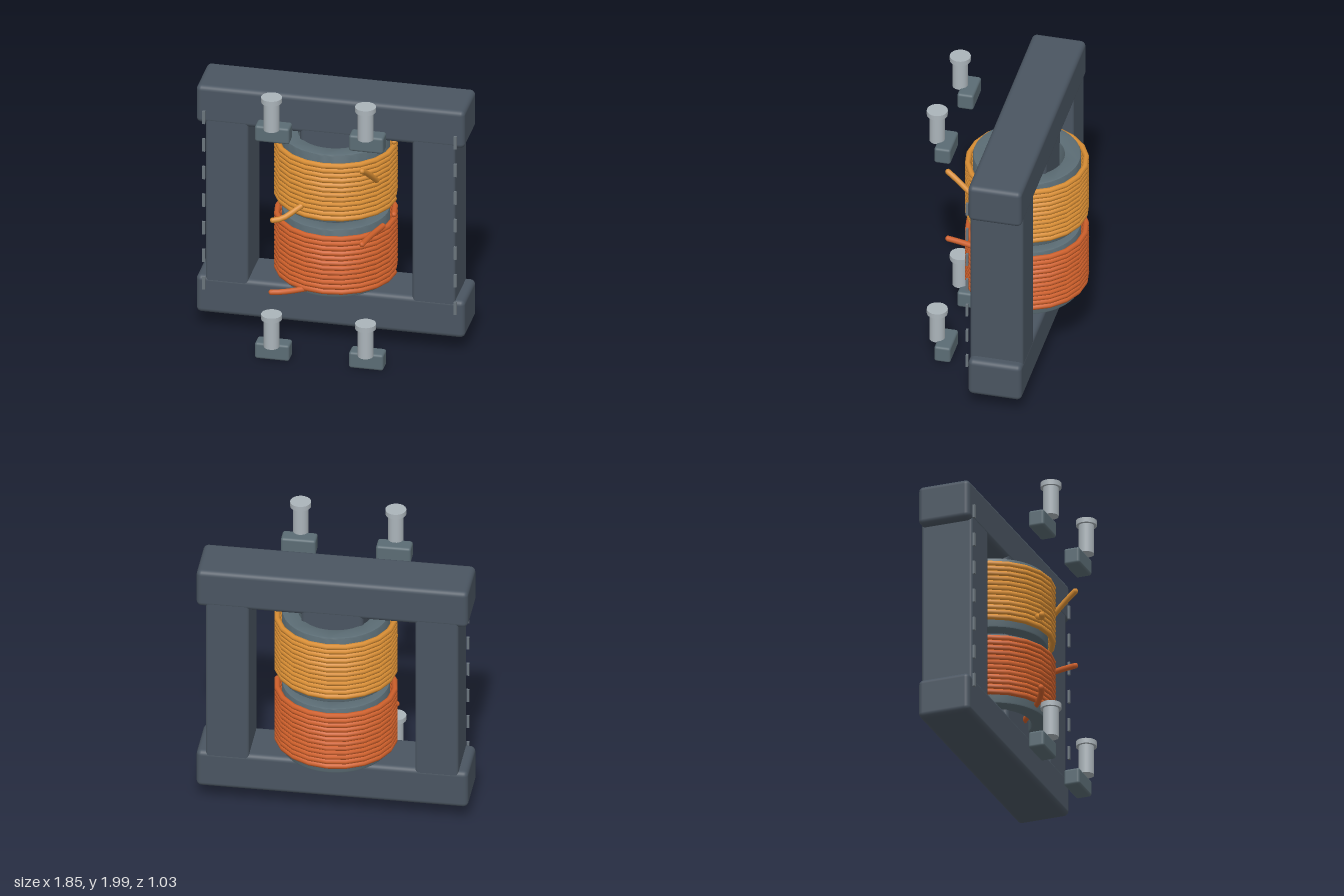
import * as THREE from 'three';
import { toCreasedNormals } from 'three/addons/utils/BufferGeometryUtils.js';
import { RoundedBoxGeometry } from 'three/addons/geometries/RoundedBoxGeometry.js';

const CZ = -0.092; // depth of the core's mid plane
const mat = (color) => new THREE.MeshStandardMaterial({ color });
const V = (x, y, z) => new THREE.Vector3(x, y, z);

export function createModel() {
  const model = new THREE.Group();
  model.name = 'transformer';
  const iron = mat(0x4a5561), plastic = mat(0x5b6c74), steel = mat(0xabb4ba), tabGrey = mat(0x6a747c);
  const copper = [mat(0xcf602b), mat(0xd98e34)];

  const add = (parent, name, geometry, material, x = 0, y = 0, z = 0) => {
    const mesh = new THREE.Mesh(geometry, material);
    mesh.name = name;
    mesh.position.set(x, y, z);
    parent.add(mesh);
    return mesh;
  };
  const rbox = (w, h, d, r) => new RoundedBoxGeometry(w, h, d, 3, r);

  // Laminated core: two yokes, two outer legs and a centre limb
  const core = new THREE.Group();
  core.name = 'core';
  model.add(core);
  add(core, 'topYoke', rbox(1.85, 0.28, 0.37, 0.035), iron, 0, 1.7, CZ);
  add(core, 'bottomYoke', rbox(1.85, 0.28, 0.37, 0.035), iron, 0, 0.267, CZ);
  for (const s of [-1, 1]) add(core, 'outerLeg', rbox(0.295, 1.4, 0.367, 0.02), iron, s * 0.713, 0.983, CZ);
  add(core, 'centreLimb', rbox(0.425, 1.4, 0.367, 0.03), iron, 0, 0.983, CZ);

  // Column of small lamination tabs in front of each outer leg
  for (const s of [-1, 1])
    for (let i = 0; i < 7; i++)
      add(core, 'laminationTab', new THREE.BoxGeometry(0.02, 0.095, 0.015), tabGrey, s * 0.867, 0.365 + i * 0.2085, 0.11);

  // Hollow bobbin with softened rims, extruded upward
  const bevel = 0.012, height = 0.513;
  const ring = new THREE.Shape().absarc(0, 0, 0.365 - bevel, 0, Math.PI * 2);
  ring.holes.push(new THREE.Path().absarc(0, 0, 0.252 + bevel, 0, Math.PI * 2, true));
  const bobbinGeo = toCreasedNormals(
    new THREE.ExtrudeGeometry(ring, {
      depth: height - 2 * bevel, curveSegments: 32,
      bevelEnabled: true, bevelSize: bevel, bevelThickness: bevel, bevelSegments: 2,
    }).translate(0, 0, bevel).rotateX(-Math.PI / 2), 0.6);

  // Round wire along points, closed with rounded ends
  const WIRE = 0.02;
  const wire = (parent, name, points, segments, material) => {
    const curve = new THREE.CatmullRomCurve3(points, false, 'centripetal');
    add(parent, name, new THREE.TubeGeometry(curve, segments, WIRE, 8), material);
    for (const p of [points[0], points[points.length - 1]])
      add(parent, name + 'End', new THREE.SphereGeometry(WIRE, 8, 6), material, p.x, p.y, p.z);
  };
  const helix = (y0, y1, turns, sides) => {
    const pts = [];
    for (let i = 0; i <= turns * sides; i++) {
      const a = (i / sides) * Math.PI * 2;
      pts.push(V(0.4 * Math.cos(a), y0 + ((y1 - y0) * i) / (turns * sides), CZ + 0.4 * Math.sin(a)));
    }
    return pts;
  };

  // Lower and upper windings, each with two lead wires
  const windings = [
    { name: 'lowerWinding', base: 0.435, y: [0.487, 0.922], leads: [
      [V(-0.34, 0.49, 0.385), V(-0.27, 0.487, 0.36), V(-0.08, 0.485, 0.24), V(0.1, 0.485, 0.09)],
      [V(0.285, 0.922, 0.385), V(0.31, 0.922, 0.27), V(0.36, 0.915, 0.08)]] },
    { name: 'upperWinding', base: 0.998, y: [1.042, 1.472], leads: [
      [V(-0.33, 1.035, 0.385), V(-0.27, 1.045, 0.365), V(-0.15, 1.115, 0.28), V(0.08, 1.22, 0.11)],
      [V(0.285, 1.475, 0.385), V(0.3, 1.43, 0.32), V(0.335, 1.3, 0.16)]] },
  ];
  windings.forEach((w, i) => {
    const group = new THREE.Group();
    group.name = w.name;
    model.add(group);
    add(group, 'bobbin', bobbinGeo, plastic, 0, w.base, CZ);
    wire(group, 'coil', helix(w.y[0], w.y[1], 12, 20), 240, copper[i]);
    for (const lead of w.leads) wire(group, 'leadWire', lead, 12, copper[i]);
  });

  // Four screw terminals: block, post and flat head
  for (const y of [0, 1.64])
    for (const s of [-1, 1]) {
      const terminal = new THREE.Group();
      terminal.name = 'terminal';
      terminal.position.set(s * 0.324, y, 0);
      model.add(terminal);
      add(terminal, 'terminalBlock', rbox(0.238, 0.12, 0.113, 0.018), plastic, 0, 0.066, 0.388);
      add(terminal, 'terminalPost', new THREE.CylinderGeometry(0.053, 0.053, 0.22, 24), steel, 0, 0.225, 0.45);
      add(terminal, 'terminalHead', new THREE.CylinderGeometry(0.071, 0.071, 0.036, 24), steel, 0, 0.342, 0.45);
    }

  return model;
}
